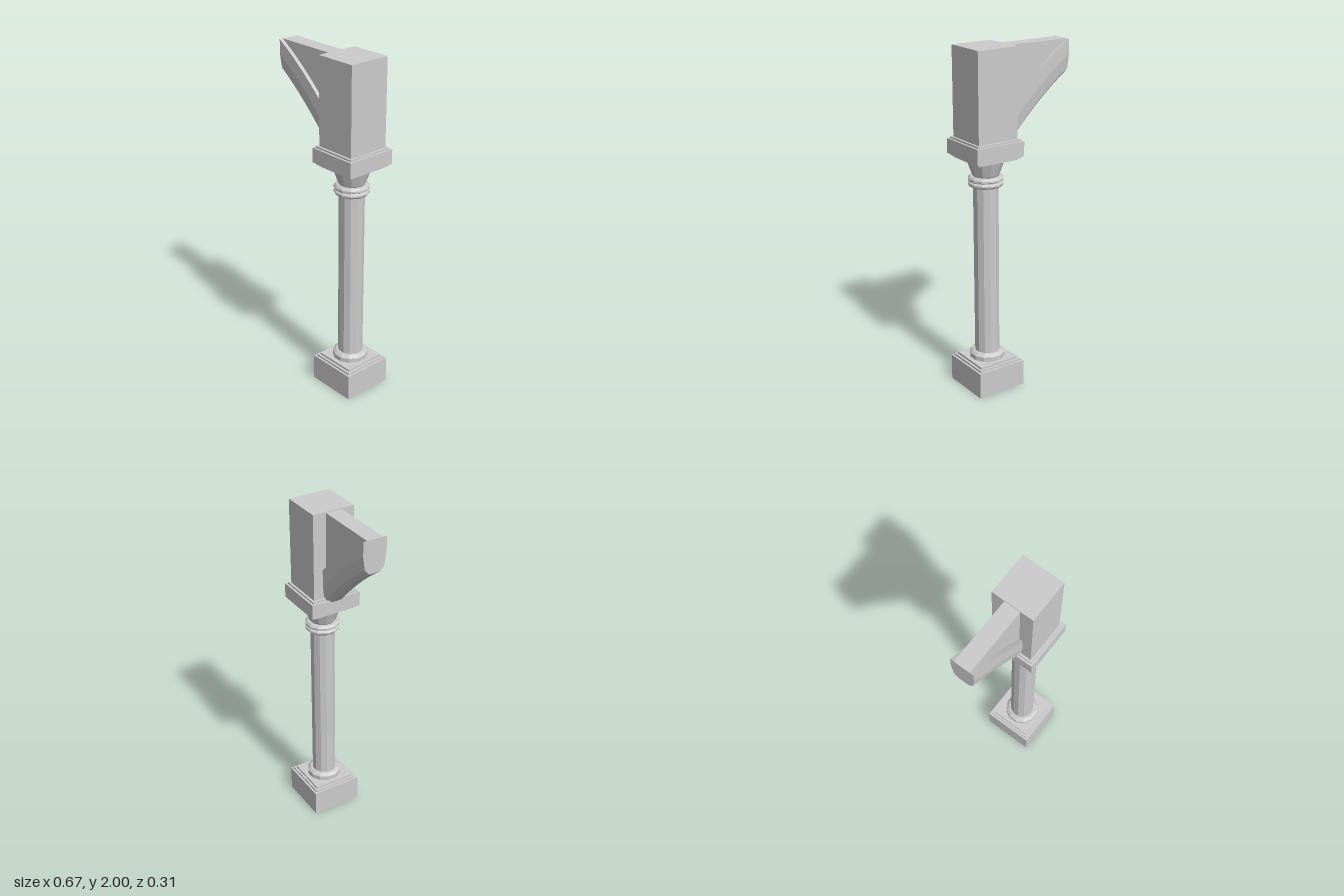
import * as THREE from 'three';

const material = new THREE.MeshStandardMaterial({ color: 0xcccccc, flatShading: true });
const COLUMN_X = 0.183;

function add(parent, name, geometry) {
  const mesh = new THREE.Mesh(geometry, material);
  mesh.name = name;
  parent.add(mesh);
  return mesh;
}

// Square slab centred on the column axis
function slab(parent, name, half, y0, y1) {
  add(parent, name, new THREE.BoxGeometry(half * 2, y1 - y0, half * 2)).position.y = (y0 + y1) / 2;
}

// Twelve-sided turned part; profile gives [half width across flats, y]
function turned(parent, name, profile) {
  const points = profile.map(([r, y]) => new THREE.Vector2(r / Math.cos(Math.PI / 12), y));
  add(parent, name, new THREE.LatheGeometry(points, 12, Math.PI / 12));
}

// Rib swept along the curve, keeping its section upright
function ribGeometry(path) {
  const half = [[0.07, 0], [0.07, 0.085], [0.058, 0.163], [0.032, 0.19]];
  const section = [...half, ...half.slice().reverse().map(([z, d]) => [-z, d])];
  const n = section.length;
  const positions = [];
  const index = [];
  path.forEach((p, i) => {
    const grow = 1 + 0.18 * i / (path.length - 1);
    section.forEach(([z, drop]) => positions.push(p.x, p.y - drop * grow, z));
  });
  for (let i = 0; i < path.length - 1; i++) {
    for (let j = 0; j < n; j++) {
      const a = i * n + j;
      const b = i * n + (j + 1) % n;
      index.push(a, b, a + n, b, b + n, a + n);
    }
  }
  // End caps
  const last = (path.length - 1) * n;
  for (let j = 1; j < n - 1; j++) {
    index.push(0, j + 1, j, last, last + j, last + j + 1);
  }
  const geometry = new THREE.BufferGeometry();
  geometry.setAttribute('position', new THREE.Float32BufferAttribute(positions, 3));
  geometry.setIndex(index);
  const flat = geometry.toNonIndexed();
  flat.computeVertexNormals();
  return flat;
}

export function createModel() {
  const model = new THREE.Group();
  model.name = 'archedColumn';

  const column = new THREE.Group();
  column.name = 'column';
  column.position.x = COLUMN_X;
  model.add(column);

  // Stepped plinth
  slab(column, 'plinth', 0.1525, 0, 0.155);
  slab(column, 'plinthStepLower', 0.14, 0.155, 0.166);
  slab(column, 'plinthStepUpper', 0.126, 0.166, 0.178);

  // Base moulding, shaft, collar and flared capital
  turned(column, 'baseMoulding', [[0, 0.178], [0.1, 0.178], [0.1, 0.205], [0.082, 0.22], [0.068, 0.22]]);
  turned(column, 'shaft', [[0.07, 0.21], [0.07, 1.24]]);
  turned(column, 'collar', [
    [0.068, 1.225], [0.088, 1.225], [0.097, 1.235], [0.097, 1.245], [0.088, 1.253],
    [0.088, 1.257], [0.097, 1.262], [0.097, 1.272], [0.086, 1.284], [0.068, 1.284],
  ]);
  turned(column, 'capital', [[0.068, 1.28], [0.075, 1.29], [0.106, 1.38], [0, 1.38]]);

  // Stepped abacus and upper block
  slab(column, 'abacusStepLower', 0.126, 1.378, 1.389);
  slab(column, 'abacusStepMiddle', 0.14, 1.389, 1.4);
  slab(column, 'abacus', 0.1525, 1.4, 1.485);
  slab(column, 'abacusStepTop', 0.14, 1.485, 1.495);
  slab(column, 'upperBlock', 0.126, 1.495, 2);

  // Half arch springing from the block
  const curve = new THREE.QuadraticBezierCurve(
    new THREE.Vector2(-0.335, 1.995), new THREE.Vector2(-0.141, 1.875), new THREE.Vector2(0.058, 1.665));
  const path = curve.getPoints(8);
  const arch = new THREE.Group();
  arch.name = 'halfArch';
  model.add(arch);
  add(arch, 'archRib', ribGeometry(path));

  // Spandrel panel filling the corner above the rib
  const shape = new THREE.Shape([...path, new THREE.Vector2(0.058, 1.995)]);
  const panel = new THREE.ExtrudeGeometry(shape, { depth: 0.096, bevelEnabled: false });
  panel.translate(0, 0, -0.048);
  add(arch, 'spandrelPanel', panel);

  return model;
}
